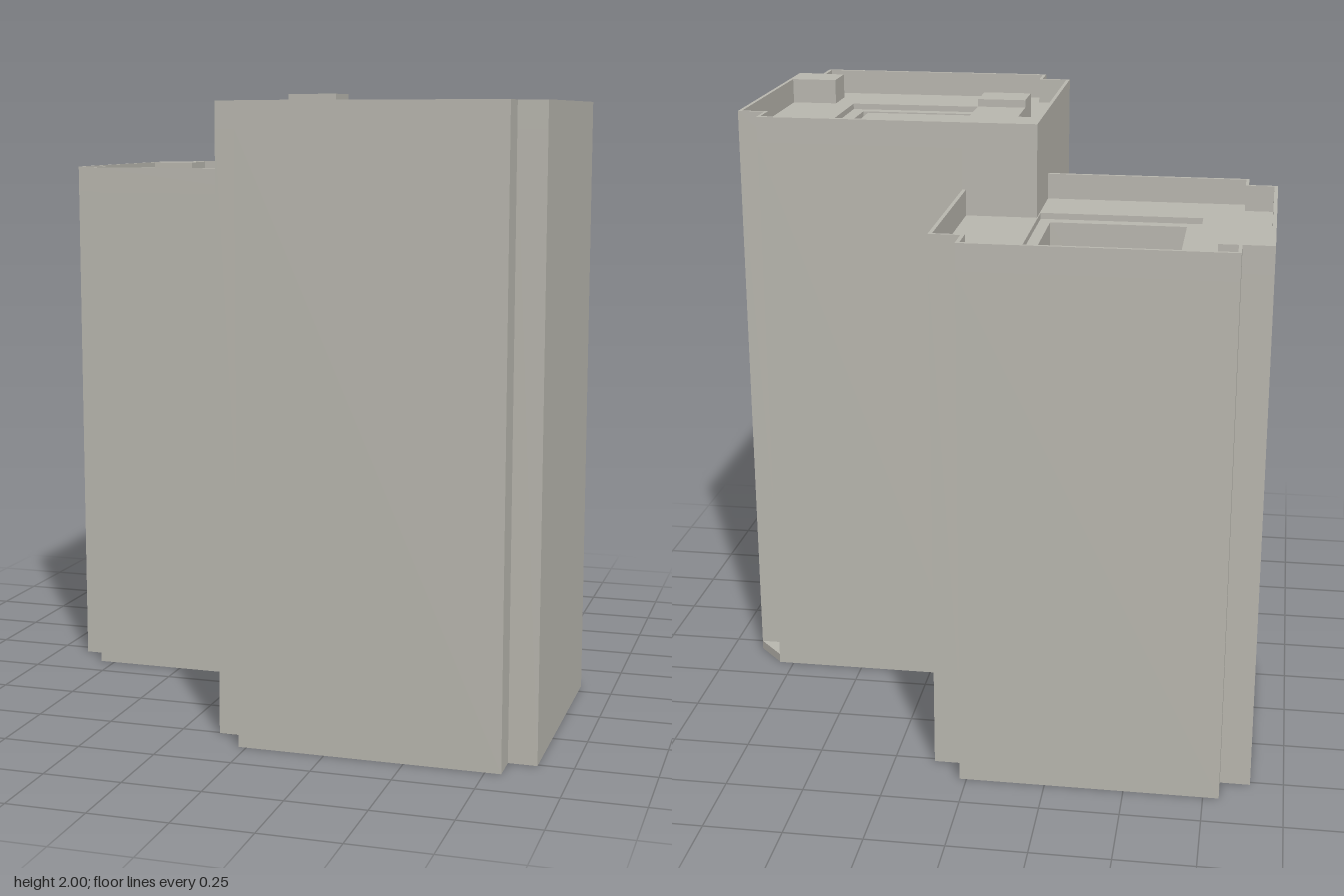
import * as THREE from 'three';

const concrete = new THREE.MeshStandardMaterial({ color: 0xb9b7af, side: THREE.DoubleSide });
concrete.name = 'concrete';

// Plans are lists of [x, z], clockwise seen from above
const rect = (x0, x1, z0, z1) => [[x0, z0], [x1, z0], [x1, z1], [x0, z1]];
const toVectors = (plan) => plan.map(([x, z]) => new THREE.Vector2(x, -z));

function planShape(plan, hole) {
  const shape = new THREE.Shape(toVectors(plan));
  if (hole) shape.holes.push(new THREE.Path(toVectors(hole)));
  return shape;
}

function addMesh(parent, name, geometry) {
  const mesh = new THREE.Mesh(geometry, concrete);
  mesh.name = name;
  parent.add(mesh);
}

// Flat horizontal sheet at height y
function plate(parent, name, y, plan, hole) {
  const g = new THREE.ShapeGeometry(planShape(plan, hole));
  addMesh(parent, name, g.rotateX(-Math.PI / 2).translate(0, y, 0));
}

// Solid plan extruded from y0 to y1
function block(parent, name, y0, y1, plan, hole) {
  const g = new THREE.ExtrudeGeometry(planShape(plan, hole), { depth: y1 - y0, bevelEnabled: false });
  addMesh(parent, name, g.rotateX(-Math.PI / 2).translate(0, y0, 0));
}

// Upright sheet following a plan path
function walls(parent, name, y0, y1, path, closed = false) {
  const pts = closed ? [...path, path[0]] : path;
  const pos = [];
  for (let i = 0; i < pts.length - 1; i++) {
    const [ax, az] = pts[i], [bx, bz] = pts[i + 1];
    pos.push(ax, y0, az, ax, y1, az, bx, y1, bz, ax, y0, az, bx, y1, bz, bx, y0, bz);
  }
  const g = new THREE.BufferGeometry();
  g.setAttribute('position', new THREE.Float32BufferAttribute(pos, 3));
  g.computeVertexNormals();
  addMesh(parent, name, g);
}

// Sunken ledge around a deep square light shaft
function lightShaft(parent, roofY, ledge, opening) {
  const ledgeY = roofY - 0.02, floorY = roofY - 0.75;
  walls(parent, 'ledgeStep', ledgeY, roofY, [...ledge].reverse(), true);
  plate(parent, 'shaftLedge', ledgeY, ledge, opening);
  walls(parent, 'shaftWalls', floorY, ledgeY, [...opening].reverse(), true);
  plate(parent, 'shaftFloor', floorY, opening);
}

export function createModel() {
  const model = new THREE.Group();
  model.name = 'twinTowers';

  // Tall front tower
  const tall = new THREE.Group();
  tall.name = 'tallTower';
  const tallTop = 1.975, tallRoof = 1.89, lowTop = 1.755, lowRoof = 1.67;
  const tallPlan = [
    [0.12, -0.157], [0.8, -0.157], [0.8, -0.06], [0.89, -0.06], [0.89, 0.76], [0.8, 0.76],
    [0.8, 0.86], [-0.025, 0.86], [-0.025, 0.755], [-0.125, 0.755], [-0.125, 0.145],
  ];
  const corner = [-0.125, -0.157];
  const tallOutline = [corner, ...tallPlan];
  const tallInner = [
    [-0.113, -0.03], [-0.045, -0.03], [-0.045, 0.28], [0.115, 0.28], [0.115, -0.03], [0.455, -0.03],
    [0.455, -0.142], [0.79, -0.142], [0.79, -0.05], [0.878, -0.05], [0.878, 0.615], [0.72, 0.615],
    [0.72, 0.75], [0.788, 0.75], [0.788, 0.847], [-0.014, 0.847], [-0.014, 0.744], [-0.113, 0.744],
  ];
  const tallLedge = rect(0.115, 0.655, 0.08, 0.62);
  walls(tall, 'outerWalls', 0, tallRoof, tallPlan);
  walls(tall, 'upperCornerWalls', lowRoof, tallRoof, [tallPlan[10], corner, tallPlan[0]]);
  plate(tall, 'roof', tallRoof, tallOutline, tallLedge);
  block(tall, 'parapet', tallRoof, tallTop, tallOutline, tallInner);
  lightShaft(tall, tallRoof, tallLedge, rect(0.16, 0.61, 0.122, 0.578));
  block(tall, 'roofHousing', tallRoof, 2, rect(-0.045, 0.115, 0.14, 0.28));
  block(tall, 'cornerFooting', 0, 0.03, [[0.8, -0.155], [0.89, -0.06], [0.8, -0.06]]);

  // Lower rear tower, open where it joins the tall one
  const low = new THREE.Group();
  low.name = 'lowTower';
  const lowPlan = [
    [-0.125, 0.145], [-0.8, 0.145], [-0.8, 0.05], [-0.895, 0.05], [-0.895, -0.765], [-0.8, -0.765],
    [-0.8, -0.862], [0.022, -0.862], [0.022, -0.765], [0.12, -0.765], [0.12, -0.157],
  ];
  const lowInner = [
    [0.108, -0.157], [0.108, -0.755], [0.01, -0.755], [0.01, -0.85], [-0.79, -0.85], [-0.79, -0.765],
    [-0.73, -0.765], [-0.73, -0.625], [-0.883, -0.625], [-0.883, 0.04], [-0.79, 0.04], [-0.79, 0.132],
    [-0.125, 0.132],
  ];
  const lowLedge = rect(-0.66, -0.128, -0.63, -0.085);
  walls(low, 'outerWalls', 0, lowRoof, lowPlan);
  plate(low, 'roof', lowRoof, [...lowPlan, corner], lowLedge);
  block(low, 'parapet', lowRoof, lowTop, [...lowPlan, ...lowInner]);
  lightShaft(low, lowRoof, lowLedge, rect(-0.61, -0.165, -0.58, -0.13));

  model.add(tall, low);
  return model;
}
